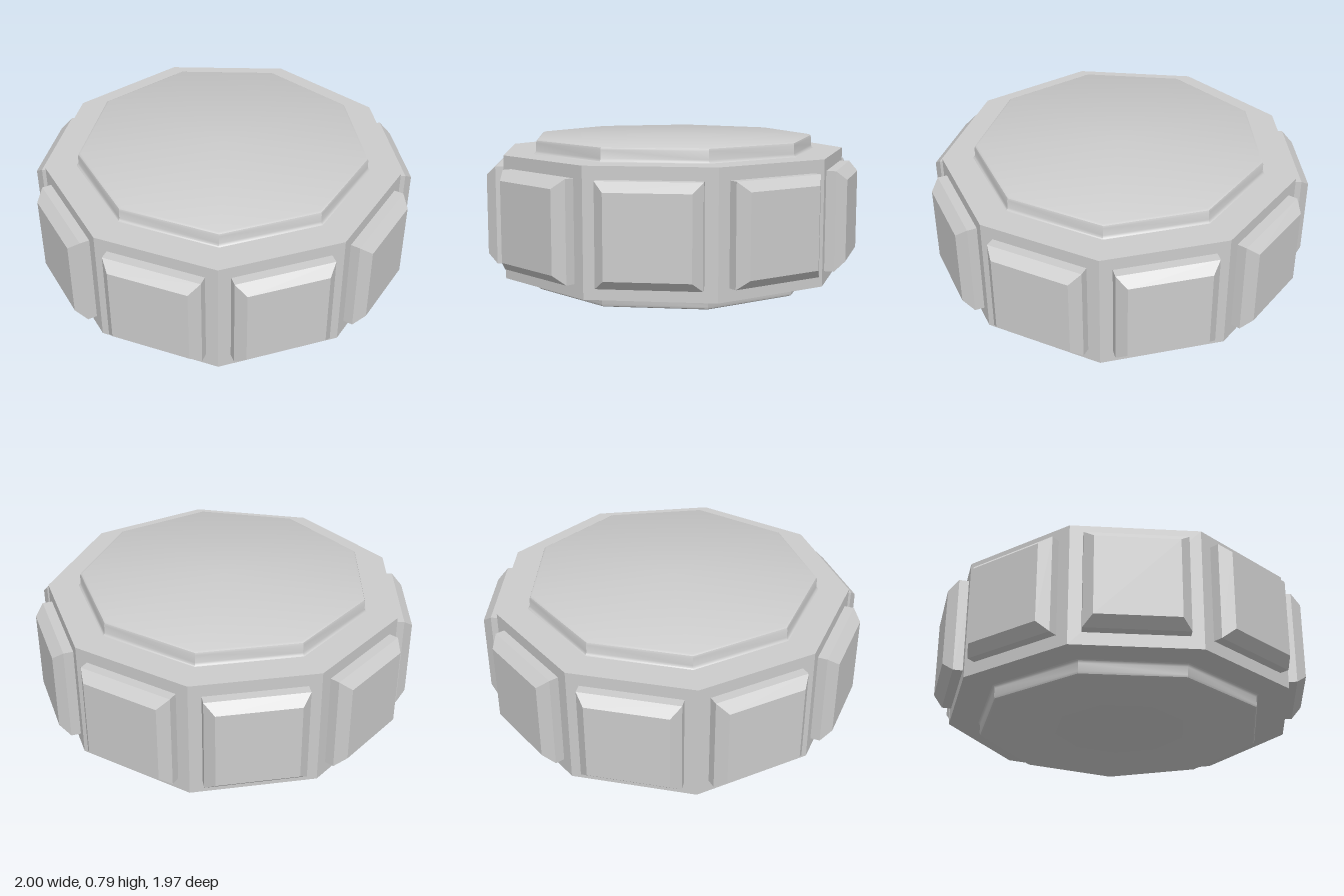
import * as THREE from 'three';
import { toCreasedNormals } from 'three/addons/utils/BufferGeometryUtils.js';

const SIDES = 9;
const MID = 0.405; // height of the middle of the body

export function createModel() {
  const model = new THREE.Group();
  model.name = 'studdedDisc';
  const flat = new THREE.MeshStandardMaterial({ color: 0xcccccc, flatShading: true });
  const smooth = new THREE.MeshStandardMaterial({ color: 0xcccccc });

  function add(name, geometry, material) {
    const mesh = new THREE.Mesh(geometry, material);
    mesh.name = name;
    model.add(mesh);
    return mesh;
  }

  // Nine-sided body with one corner pointing forward
  add('body', new THREE.CylinderGeometry(0.936, 0.936, 0.64, SIDES), flat).position.y = MID;

  // Raised plates, above and below, with a soft rim and a small fillet at the foot
  const profile = [
    [0.777, 0.318], [0.768, 0.324], [0.763, 0.336], [0.763, 0.378],
    [0.759, 0.389], [0.748, 0.395], [0, 0.395],
  ].map(([r, y]) => new THREE.Vector2(r, y));
  const plate = toCreasedNormals(new THREE.LatheGeometry(profile, SIDES), THREE.MathUtils.degToRad(35));
  add('topPlate', plate, smooth).position.y = MID;
  const bottom = add('bottomPlate', plate, smooth);
  bottom.position.y = MID;
  bottom.rotation.z = Math.PI;

  // Square pad: straight sides up to a shoulder, then a bevel to the outer face
  const pad = new THREE.BoxGeometry(0.51, 0.51, 2, 1, 1, 2);
  const p = pad.attributes.position;
  const depths = [0.86, 0.929, 0.979];
  for (let i = 0; i < p.count; i++) {
    const layer = Math.round(p.getZ(i)) + 1;
    const s = layer === 2 ? 0.815 : 1;
    p.setXYZ(i, p.getX(i) * s, p.getY(i) * s, depths[layer]);
  }
  pad.computeVertexNormals();

  // One pad in the middle of each side
  for (let i = 0; i < SIDES; i++) {
    const mesh = add('sidePad', pad, flat);
    mesh.position.y = MID;
    mesh.rotation.y = ((i + 0.5) / SIDES) * Math.PI * 2;
  }

  model.rotation.y = -0.008;
  model.position.set(0, -0.01, -0.01);
  return model;
}
